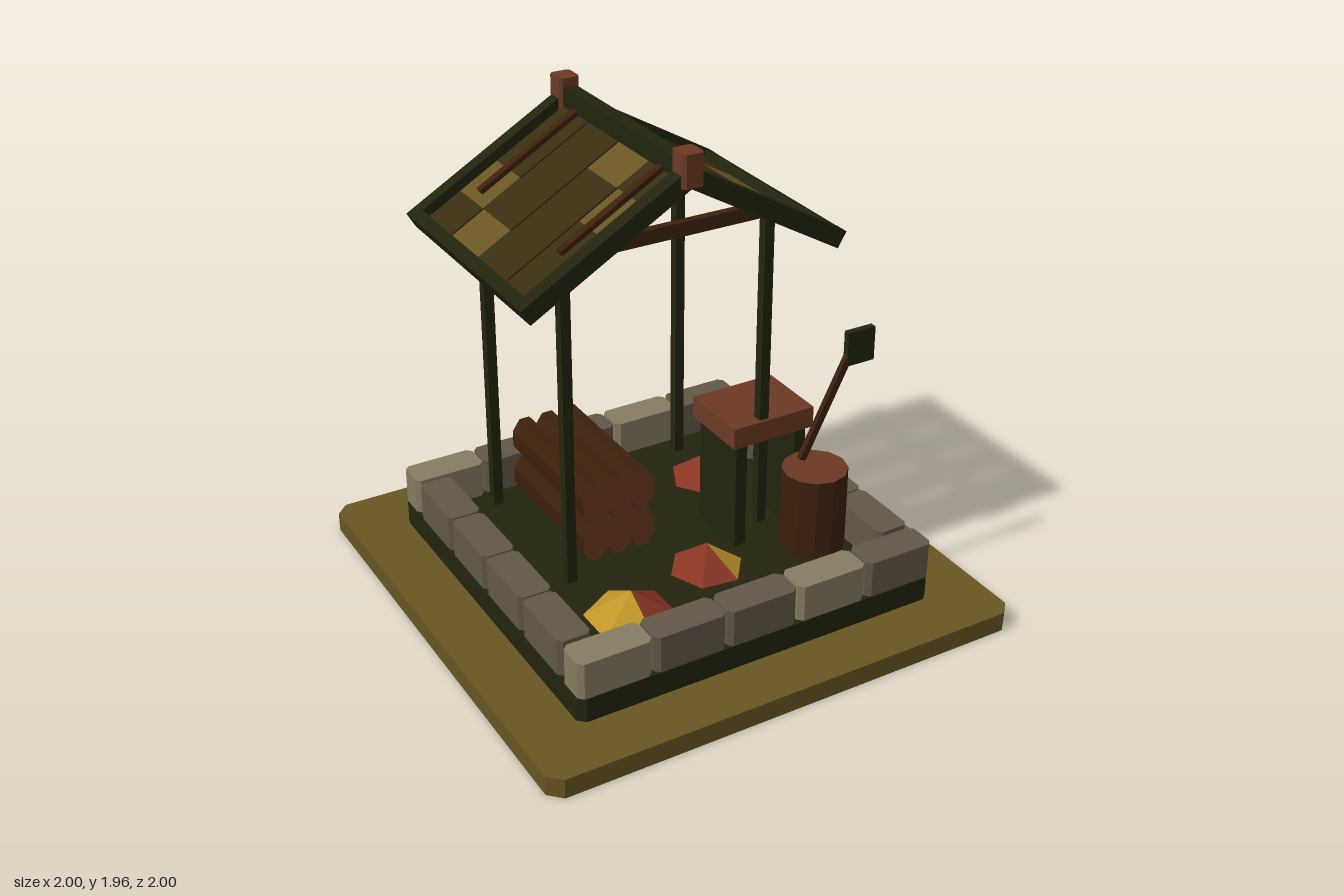
import * as THREE from 'three';

const mat = (name, color, flat = true) => {
  const m = new THREE.MeshStandardMaterial({ color, flatShading: flat });
  m.name = name;
  return m;
};

export function createModel() {
  const model = new THREE.Group();
  const olive = mat('olive earth and light boards', 0x685522);
  const dark = mat('dark timber', 0x22240f);
  const board = mat('dark roof boards', 0x392e11);
  const paleStone = mat('pale stone', 0x877b62);
  const greyStone = mat('grey stone', 0x635748);
  const bark = mat('bark brown', 0x3c200e);
  const wood = mat('cut wood', 0x6b3a24);
  const yellow = mat('yellow leaves', 0xc0962a);
  const red = mat('red leaves', 0x8a3524);
  yellow.side = red.side = THREE.DoubleSide;

  const add = (name, geo, material, x = 0, y = 0, z = 0, parent = model) => {
    const m = new THREE.Mesh(geo, material);
    m.name = name;
    m.position.set(x, y, z);
    parent.add(m);
    return m;
  };
  // Box given by its limits on each axis
  const span = (name, material, [x0, x1], [y0, y1], [z0, z1], parent = model) =>
    add(name, new THREE.BoxGeometry(x1 - x0, y1 - y0, z1 - z0), material,
      (x0 + x1) / 2, (y0 + y1) / 2, (z0 + z1) / 2, parent);
  // Upright block with cut vertical corners, standing on y = 0
  const cutBlock = (w, d, h, c) => {
    const a = w / 2, b = d / 2;
    const pts = [[a, b - c], [a - c, b], [c - a, b], [-a, b - c], [-a, c - b], [c - a, -b], [a - c, -b], [a, c - b]];
    const shape = new THREE.Shape(pts.map(p => new THREE.Vector2(...p)));
    return new THREE.ExtrudeGeometry(shape, { depth: h, bevelEnabled: false }).rotateX(-Math.PI / 2);
  };

  // Ground and foundation
  add('ground', cutBlock(2, 2, 0.08, 0.05), olive);
  add('foundation', cutBlock(1.54, 1.54, 0.1, 0.03), dark, 0, 0.08, 0);

  // Ring of wall stones
  for (const s of [-1, 1]) {
    for (let i = 0; i < 5; i++)
      add('wallStone', cutBlock(0.3, 0.135, 0.15, 0.02), i % 3 ? greyStone : paleStone,
        (i - 2) * 0.308, 0.18, s * 0.7);
    for (let i = 0; i < 4; i++)
      add('wallStone', cutBlock(0.135, 0.3, 0.15, 0.02), greyStone,
        s * 0.698, 0.18, (i - 1.5) * 0.308);
  }

  // Leaf heaps, half yellow and half red
  for (const [x, z, r, turn] of [[-0.36, 0.41, 0.18, Math.PI], [0.05, 0.28, 0.15, 0.4], [0.41, -0.3, 0.16, 0.6]]) {
    [yellow, red].forEach((m, i) =>
      add('leafHeap', new THREE.ConeGeometry(r, 0.11, 3, 1, true, turn + i * Math.PI, Math.PI), m, x, 0.235, z));
  }

  // Log pile
  for (let row = 0; row < 2; row++)
    for (let col = 0; col < 3; col++) {
      const geo = new THREE.CylinderGeometry(1, 1, 0.59, 8).rotateY(Math.PI / 8)
        .rotateX(Math.PI / 2).scale(0.057, 0.085, 1);
      add('log', geo, [bark, wood, wood], -0.39 + col * 0.1, 0.395 + row * 0.17, -0.095);
    }

  // Work bench
  span('benchTop', wood, [0.2, 0.565], [0.637, 0.725], [-0.075, 0.23]);
  span('benchLeg', dark, [0.22, 0.27], [0.18, 0.637], [-0.05, 0.215]);
  span('benchLeg', dark, [0.49, 0.54], [0.18, 0.637], [-0.05, 0.215]);

  // Chopping block and axe
  add('choppingBlock', new THREE.CylinderGeometry(0.127, 0.127, 0.335, 12), [bark, wood, wood], 0.4, 0.467, 0.485);
  const handle = add('axeHandle', new THREE.BoxGeometry(0.028, 0.45, 0.022), bark, 0.435, 0.89, 0.485);
  handle.rotation.z = -Math.atan2(0.2, 0.4);
  span('axeHead', dark, [0.515, 0.635], [1.04, 1.177], [0.473, 0.5]);

  // Posts and cross beams
  for (const z of [0.197, -0.44]) {
    for (const x of [-0.503, 0.343])
      span('post', dark, [x - 0.02, x + 0.02], [0.26, 1.6], [z - 0.02, z + 0.02]);
    span('crossBeam', bark, [-0.5, 0.34], [1.575, 1.63], [z - 0.016, z + 0.016]);
  }

  // Roof: each slope is built flat along +x, then tilted down from the ridge
  const ridgeX = -0.08, tilt = Math.PI / 6, step = 0.155 / Math.cos(tilt);
  const strips = [[0.115, 0.3, 1], [-0.11, 0.105, 0], [-0.34, -0.12, 3], [-0.545, -0.35, 2]];
  for (const side of [1, -1]) {
    const turn = new THREE.Group();
    turn.name = side > 0 ? 'leftRoofSlope' : 'rightRoofSlope';
    turn.position.set(ridgeX, 1.86, -0.12);
    if (side < 0) turn.rotation.y = Math.PI;
    const slope = new THREE.Group();
    slope.name = 'slope';
    slope.rotation.z = -tilt;
    turn.add(slope);
    model.add(turn);
    const part = (name, m, x, y, z0, z1) => {
      const a = side * (z0 + 0.12), b = side * (z1 + 0.12);
      return span(name, m, x, y, [Math.min(a, b), Math.max(a, b)], slope);
    };
    // Boards, one light section per strip
    for (const [z0, z1, light] of strips)
      for (let i = 0; i < 4; i++)
        part('roofBoard', i === light ? olive : board, [i * step, (i + 1) * step], [-0.025, -0.004], z0, z1);
    // Gable rafters, eave beam and battens
    part('gableRafter', dark, [0, 0.745], [-0.035, 0.035], 0.3, 0.36);
    part('gableRafter', dark, [0, 0.745], [-0.035, 0.035], -0.6, -0.545);
    part('eaveBeam', dark, [0.695, 0.745], [-0.034, 0.034], -0.59, 0.35);
    for (const z of [0.197, -0.44])
      part('roofBatten', bark, [0, 0.495], [-0.01, 0.015], z - 0.016, z + 0.016);
  }

  // Ridge beam and its end caps
  span('ridgeBeam', dark, [ridgeX - 0.028, ridgeX + 0.028], [1.845, 1.92], [-0.57, 0.33]);
  for (const z of [0.333, -0.575])
    add('ridgeCap', cutBlock(0.085, 0.09, 0.125, 0.012), wood, ridgeX, 1.83, z);

  return model;
}
